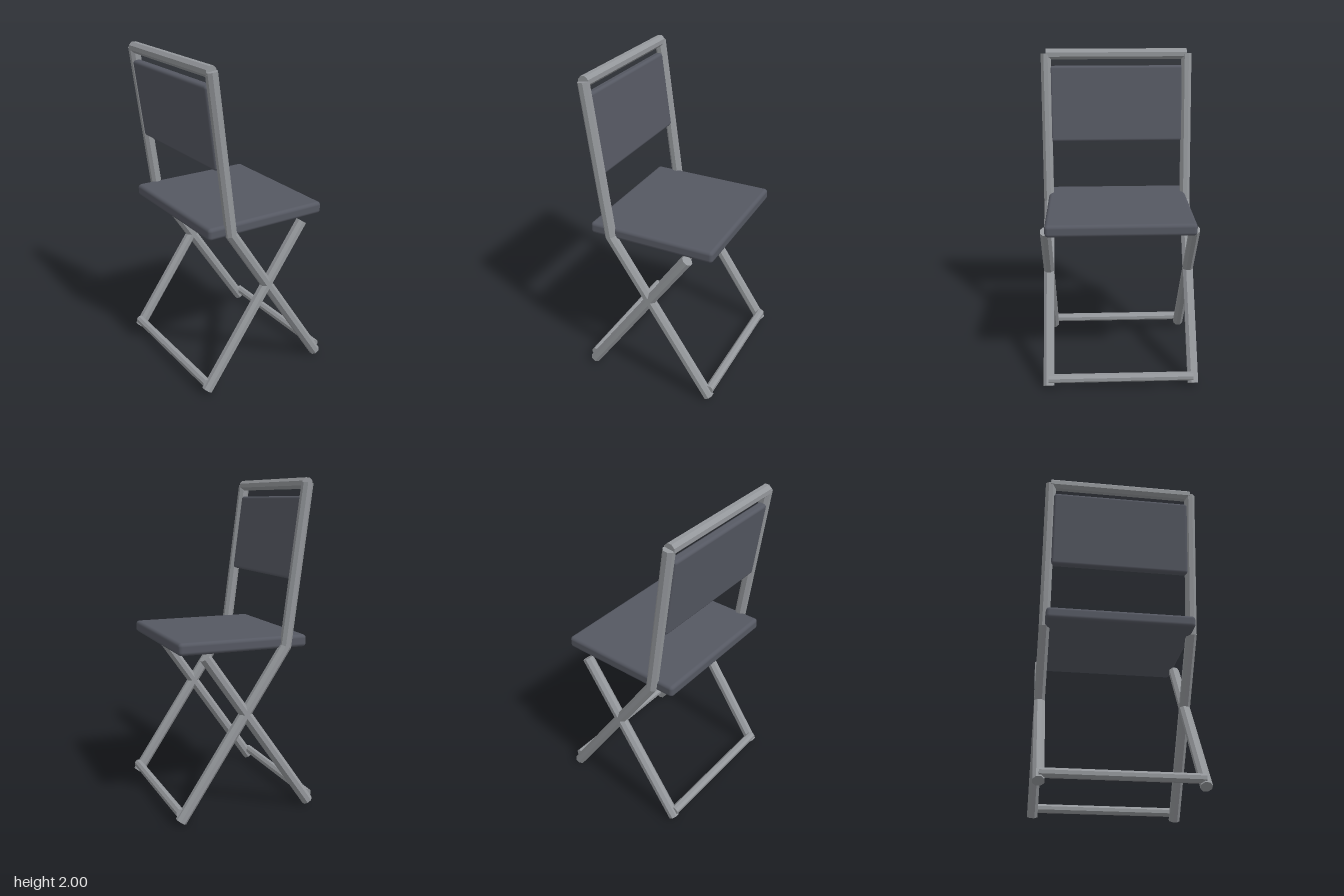
import * as THREE from 'three';
import { RoundedBoxGeometry } from 'three/addons/geometries/RoundedBoxGeometry.js';

const SIDES = 8;
const TUBE_R = 0.035;
const SIDE_Z = 0.452;

// Eight-sided tube along a path in the xy plane, mitred at bends and capped at both ends
function sweepTube(path, radius) {
  const pts = path.map(([x, y]) => new THREE.Vector2(x, y));
  const positions = [];
  const index = [];
  pts.forEach((p, i) => {
    const before = pts[Math.max(i - 1, 0)];
    const after = pts[Math.min(i + 1, pts.length - 1)];
    const dirIn = (i > 0 ? p.clone().sub(before) : after.clone().sub(p)).normalize();
    const dirOut = (i < pts.length - 1 ? after.clone().sub(p) : dirIn.clone()).normalize();
    const dir = dirIn.clone().add(dirOut).normalize();
    const stretch = radius / dir.dot(dirIn);
    for (let s = 0; s < SIDES; s++) {
      const a = ((s + 0.5) / SIDES) * Math.PI * 2;
      const side = Math.cos(a) * stretch;
      positions.push(p.x + dir.y * side, p.y - dir.x * side, Math.sin(a) * radius);
    }
  });
  for (let i = 0; i < pts.length - 1; i++) {
    for (let s = 0; s < SIDES; s++) {
      const a = i * SIDES + s;
      const b = i * SIDES + ((s + 1) % SIDES);
      index.push(a, a + SIDES, b, b, a + SIDES, b + SIDES);
    }
  }
  const last = (pts.length - 1) * SIDES;
  for (let s = 1; s < SIDES - 1; s++) {
    index.push(0, s, s + 1, last, last + s + 1, last + s);
  }
  // Ring order runs clockwise about the path, so flip every triangle outward
  for (let i = 0; i < index.length; i += 3) {
    const ab = new THREE.Vector3();
    const v = [0, 1, 2].map((k) => new THREE.Vector3().fromArray(positions, index[i + k] * 3));
    const normal = ab.subVectors(v[1], v[0]).cross(v[2].clone().sub(v[0]));
    const seg = nearestAxisPoint(v, pts);
    if (normal.dot(seg) < 0) [index[i + 1], index[i + 2]] = [index[i + 2], index[i + 1]];
  }
  const geo = new THREE.BufferGeometry();
  geo.setAttribute('position', new THREE.Float32BufferAttribute(positions, 3));
  geo.setIndex(index);
  const flat = geo.toNonIndexed();
  flat.computeVertexNormals();
  return flat;
}

// Vector from the middle of the nearest path segment to a triangle's centre
function nearestAxisPoint(v, pts) {
  const c = v[0].clone().add(v[1]).add(v[2]).divideScalar(3);
  let best = null;
  for (let i = 0; i < pts.length - 1; i++) {
    const line = new THREE.Line3(
      new THREE.Vector3(pts[i].x, pts[i].y, 0),
      new THREE.Vector3(pts[i + 1].x, pts[i + 1].y, 0)
    );
    const d = c.distanceTo(line.closestPointToPoint(c, true, new THREE.Vector3()));
    const mid = line.getCenter(new THREE.Vector3());
    if (!best || d < best.d) best = { d, out: c.clone().sub(mid) };
  }
  return best.out;
}

export function createModel() {
  const model = new THREE.Group();
  model.name = 'foldingChair';
  const metal = new THREE.MeshStandardMaterial({ color: 0x94979b });
  metal.name = 'greyMetal';
  const padding = new THREE.MeshStandardMaterial({ color: 0x555862 });
  padding.name = 'darkPadding';

  const add = (name, geometry, material, x, y, z) => {
    const mesh = new THREE.Mesh(geometry, material);
    mesh.name = name;
    mesh.position.set(x, y, z);
    model.add(mesh);
    return mesh;
  };

  // Side frames: bent front leg with back post, and straight crossing leg
  const postGeo = sweepTube([[0.415, 0.02], [-0.25, 1.02], [-0.375, 1.97]], TUBE_R);
  const legGeo = sweepTube([[-0.42, 0.025], [0.26, 0.99]], TUBE_R);
  for (const [label, sign] of [['left', 1], ['right', -1]]) {
    add(label + 'BackPost', postGeo, metal, 0, 0, sign * SIDE_Z);
    add(label + 'CrossLeg', legGeo, metal, 0, 0, sign * SIDE_Z);
  }

  // Cross rails between the side frames
  const rail = (name, x, y, radius) => {
    const geo = new THREE.CylinderGeometry(radius, radius, SIDE_Z * 2, SIDES).toNonIndexed();
    geo.rotateY(Math.PI / SIDES);
    geo.rotateX(Math.PI / 2);
    geo.computeVertexNormals();
    add(name, geo, metal, x, y, 0);
  };
  rail('topRail', -0.375, 1.968, TUBE_R);
  rail('frontFootRail', 0.415, 0.07, 0.028);
  rail('rearFootRail', -0.42, 0.07, 0.028);

  // Padded seat and tilted backrest
  add('seat', new RoundedBoxGeometry(0.81, 0.075, 0.9, 3, 0.022), padding, 0.01, 1.042, 0);
  const back = add('backrest', new RoundedBoxGeometry(0.055, 0.488, 0.86, 3, 0.018), padding, -0.342, 1.652, 0);
  back.rotation.z = 0.131;

  return model;
}
